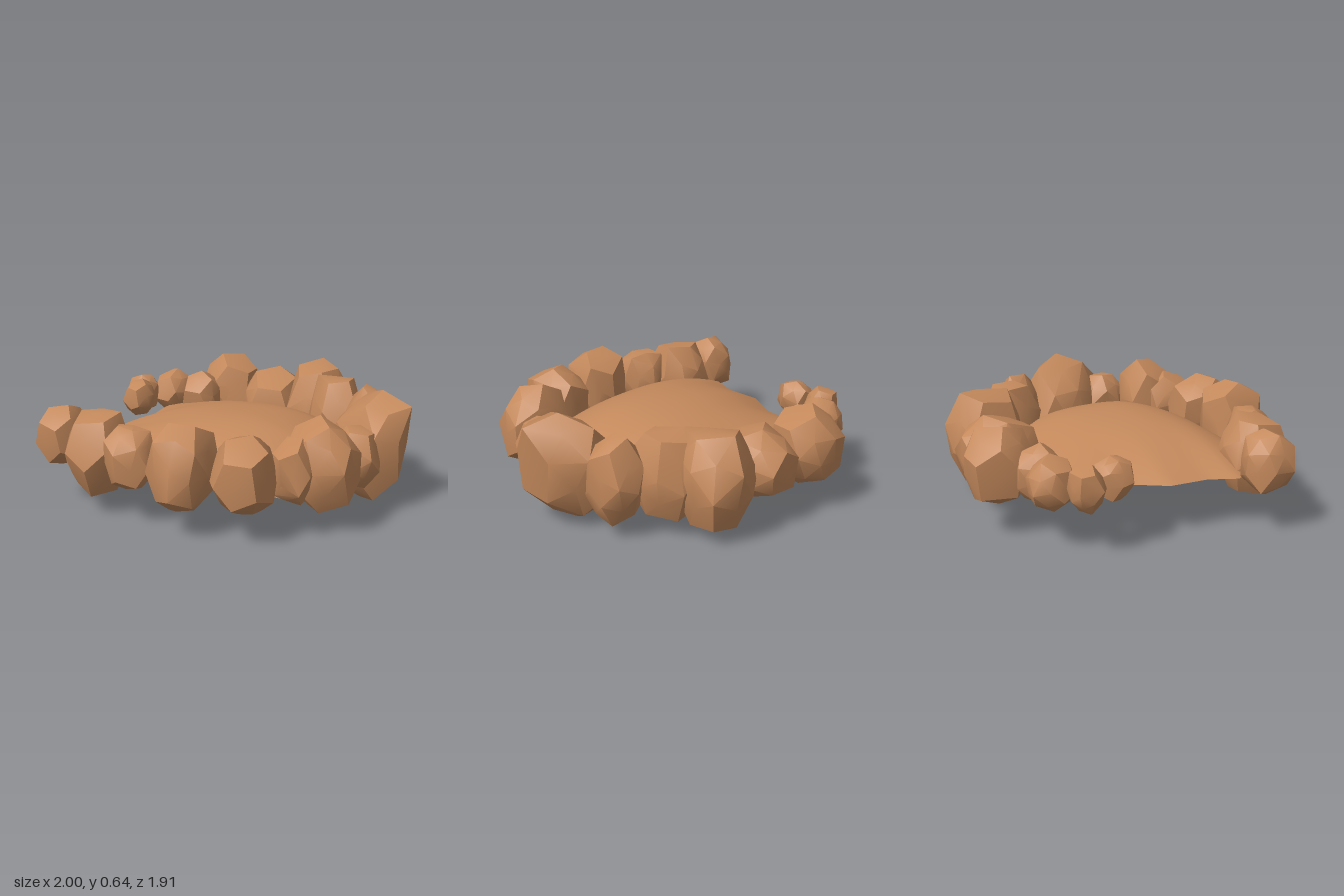
import * as THREE from 'three';
import { toCreasedNormals } from 'three/addons/utils/BufferGeometryUtils.js';
import { ConvexGeometry } from 'three/addons/geometries/ConvexGeometry.js';

// Extents of each boulder around the rim: x0, x1, z0, z1, y0, y1, then lean of x with y and with z
const BOULDERS = [
  [-1.0, -0.73, 0.37, 0.66, 0.21, 0.56],
  [-0.80, -0.45, 0.39, 0.77, 0.11, 0.56],
  [-0.55, -0.25, 0.54, 0.83, 0.19, 0.53, 0, 0.2],
  [-0.26, 0.10, 0.58, 0.95, 0.12, 0.60],
  [0.07, 0.41, 0.56, 0.94, 0.15, 0.56],
  [0.34, 0.60, 0.47, 0.76, 0.18, 0.53],
  [0.42, 0.79, 0.35, 0.69, 0.12, 0.61],
  [0.60, 0.87, 0.15, 0.42, 0.17, 0.50],
  [0.55, 1.0, -0.25, 0.29, 0.0, 0.64, 0.22, 0.25],
  [0.56, 0.86, -0.46, -0.16, 0.08, 0.57, 0, 0.2],
  [0.32, 0.66, -0.64, -0.25, 0.10, 0.57, 0, 0.2],
  [0.14, 0.54, -0.88, -0.42, 0.05, 0.60],
  [-0.14, 0.25, -0.89, -0.45, 0.13, 0.54],
  [-0.45, -0.09, -0.96, -0.59, 0.15, 0.59],
  [-0.55, -0.29, -0.73, -0.47, 0.18, 0.51],
  [-0.73, -0.50, -0.73, -0.48, 0.22, 0.51],
  [-0.87, -0.68, -0.58, -0.39, 0.24, 0.49],
  [-0.84, -0.64, -0.42, -0.21, 0.27, 0.50],
];

// Sections of the ground: z, left edge x, right edge x
const GROUND = [
  [-0.66, -0.52, 0.46], [-0.55, -0.59, 0.53], [-0.45, -0.62, 0.58], [-0.19, -0.64, 0.70],
  [0, -0.75, 0.74], [0.22, -0.75, 0.73], [0.38, -0.81, 0.67], [0.55, -0.70, 0.56], [0.67, -0.55, 0.42],
];

function seeded(seed) {
  return () => {
    seed = (seed * 16807) % 2147483647;
    return seed / 2147483647;
  };
}

// The 20 corners of a dodecahedron and its 12 face directions
function stoneDirections() {
  const g = (1 + Math.sqrt(5)) / 2, corners = [], faces = [];
  for (const a of [-1, 1]) for (const b of [-1, 1]) {
    corners.push([a, b, 1], [a, b, -1], [0, a / g, b * g], [a / g, b * g, 0], [a * g, 0, b / g]);
    faces.push([0, a * g, b], [a * g, b, 0], [a, 0, b * g]);
  }
  const unit = (v) => new THREE.Vector3(...v).normalize();
  return { corners: corners.map(unit), faces: faces.map(unit) };
}

// Chunky stone with bulging five-sided facets, filling the given extents
function boulderGeometry([x0, x1, z0, z1, y0, y1, leanY = 0, leanZ = 0], seed) {
  const rnd = seeded(seed * 7919 + 131);
  for (let i = 0; i < 5; i++) rnd();
  const turn = new THREE.Euler(rnd() * 6.28, rnd() * 6.28, rnd() * 6.28);
  const jitter = (v, amount) =>
    v.add(new THREE.Vector3(rnd() - 0.5, rnd() - 0.5, rnd() - 0.5).multiplyScalar(amount));
  const { corners, faces } = stoneDirections();
  const points = [
    ...corners.map((v) => jitter(v, 0.15)),
    ...faces.map((v) => jitter(v.multiplyScalar(0.9), 0.05)),
  ];
  for (const p of points) {
    p.applyEuler(turn);
    // swell slightly towards a block
    const n = p.clone().normalize();
    const block = Math.pow(n.x ** 4 + n.y ** 4 + n.z ** 4, -0.25);
    p.multiplyScalar(1 + (block - 1) * 0.3);
    p.x += leanY * p.y + leanZ * p.z;
  }
  const box = new THREE.Box3().setFromPoints(points);
  const size = box.getSize(new THREE.Vector3());
  for (const p of points) {
    p.sub(box.min).divide(size);
    p.set(x0 + p.x * (x1 - x0), y0 + p.y * (y1 - y0), z0 + p.z * (z1 - z0));
  }
  return toCreasedNormals(new ConvexGeometry(points), 0.58);
}

// Domed sheet, open underneath
function groundGeometry() {
  const geo = new THREE.PlaneGeometry(2, 2, 20, 32);
  geo.rotateX(-Math.PI / 2);
  const pos = geo.attributes.position;
  const zMin = GROUND[0][0], zMax = GROUND[GROUND.length - 1][0];
  for (let i = 0; i < pos.count; i++) {
    const u = pos.getX(i), v = pos.getZ(i);
    const z = zMin + ((v + 1) / 2) * (zMax - zMin);
    let k = 0;
    while (k < GROUND.length - 2 && z > GROUND[k + 1][0]) k++;
    const a = GROUND[k], b = GROUND[k + 1];
    const t = (z - a[0]) / (b[0] - a[0]);
    const left = THREE.MathUtils.lerp(a[1], b[1], t);
    const right = THREE.MathUtils.lerp(a[2], b[2], t);
    const edge = 0.25 - 0.04 * u;
    const dome = (1 - Math.abs(u) ** 2.4) * (1 - Math.abs(v) ** 2.4);
    pos.setXYZ(i, left + ((u + 1) / 2) * (right - left), edge + (0.215 + 0.04 * (u + v)) * dome, z);
  }
  geo.computeVertexNormals();
  return geo;
}

export function createModel() {
  const model = new THREE.Group();
  model.name = 'rockRing';
  const stone = new THREE.MeshStandardMaterial({ color: 0xc4895c, side: THREE.DoubleSide });
  stone.name = 'sandstone';

  const ground = new THREE.Mesh(groundGeometry(), stone);
  ground.name = 'ground';
  model.add(ground);

  const rim = new THREE.Group();
  rim.name = 'boulderRim';
  BOULDERS.forEach((extents, i) => {
    const boulder = new THREE.Mesh(boulderGeometry(extents, i + 1), stone);
    boulder.name = 'boulder' + (i + 1);
    rim.add(boulder);
  });
  model.add(rim);
  return model;
}
